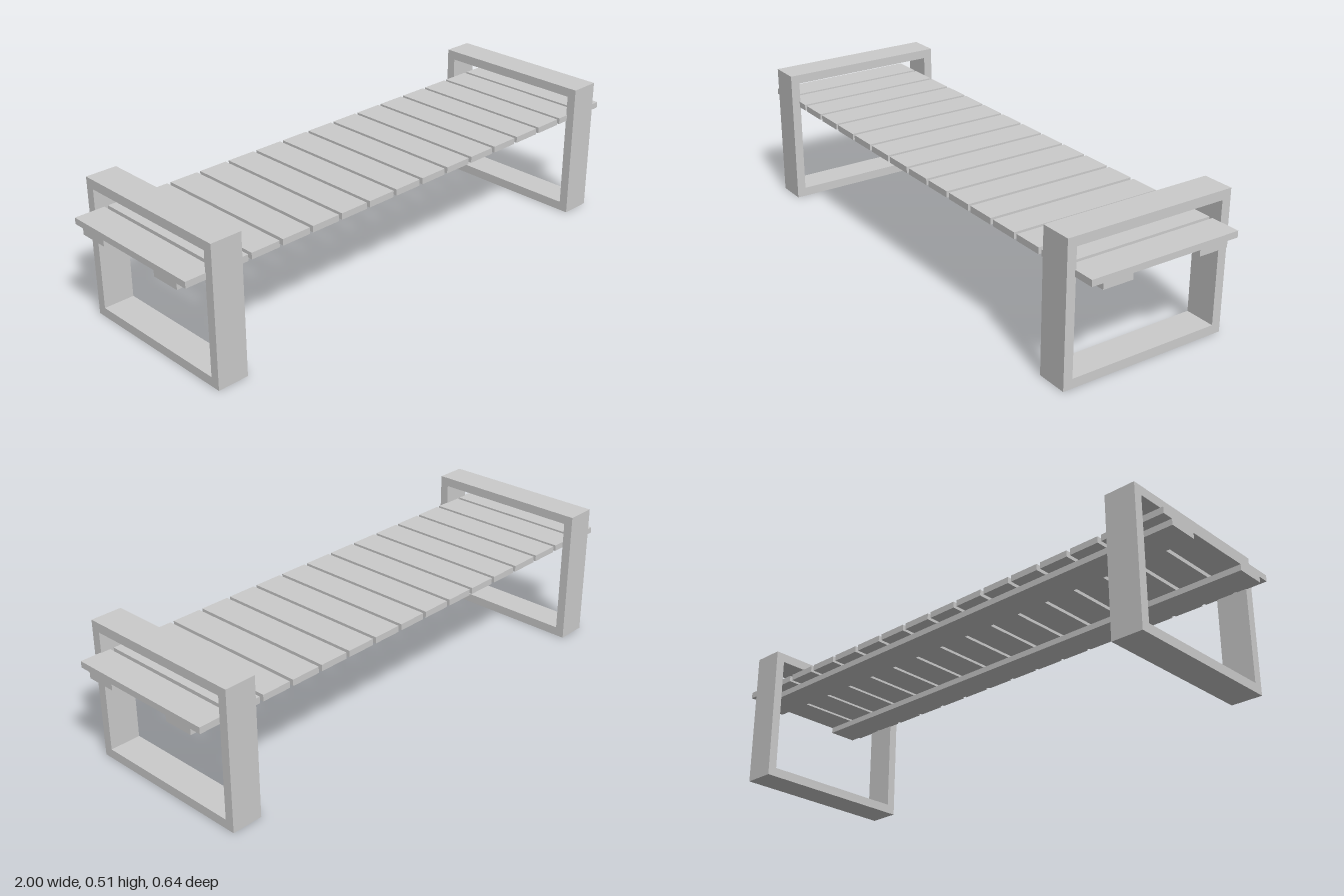
import * as THREE from 'three';

const material = new THREE.MeshStandardMaterial({ color: 0xcccccc });

function addBox(parent, name, size, position) {
  const mesh = new THREE.Mesh(new THREE.BoxGeometry(...size), material);
  mesh.name = name;
  mesh.position.set(...position);
  parent.add(mesh);
}

// Rectangular loop that serves as legs, foot and armrest
function createEndFrame(name, x) {
  const width = 0.115, halfDepth = 0.32, height = 0.51, thickness = 0.034;
  const shape = new THREE.Shape([
    new THREE.Vector2(-halfDepth, 0),
    new THREE.Vector2(halfDepth, 0),
    new THREE.Vector2(halfDepth, height),
    new THREE.Vector2(-halfDepth, height),
  ]);
  const inner = halfDepth - thickness;
  shape.holes.push(new THREE.Path([
    new THREE.Vector2(-inner, thickness),
    new THREE.Vector2(-inner, height - thickness),
    new THREE.Vector2(inner, height - thickness),
    new THREE.Vector2(inner, thickness),
  ]));
  const geometry = new THREE.ExtrudeGeometry(shape, { depth: width, bevelEnabled: false });
  geometry.translate(0, 0, -width / 2).rotateY(Math.PI / 2);
  const frame = new THREE.Mesh(geometry, material);
  frame.name = name;
  frame.position.x = x;
  return frame;
}

export function createModel() {
  const bench = new THREE.Group();
  bench.name = 'bench';

  // End frames
  bench.add(createEndFrame('leftEndFrame', 0.866), createEndFrame('rightEndFrame', -0.866));

  // Seat slats laid crosswise with narrow gaps
  const slats = new THREE.Group();
  slats.name = 'seatSlats';
  const count = 16, slatWidth = 0.112, pitch = (2 - slatWidth) / (count - 1);
  for (let i = 0; i < count; i++) {
    addBox(slats, 'slat', [slatWidth, 0.023, 0.575],
      [(i - (count - 1) / 2) * pitch, 0.3905, 0.002]);
  }
  bench.add(slats);

  // Long rails under the slats
  for (const [name, side] of [['frontRail', 1], ['backRail', -1]]) {
    addBox(bench, name, [2, 0.022, 0.113], [0, 0.368, side * 0.188 + 0.002]);
  }
  return bench;
}
